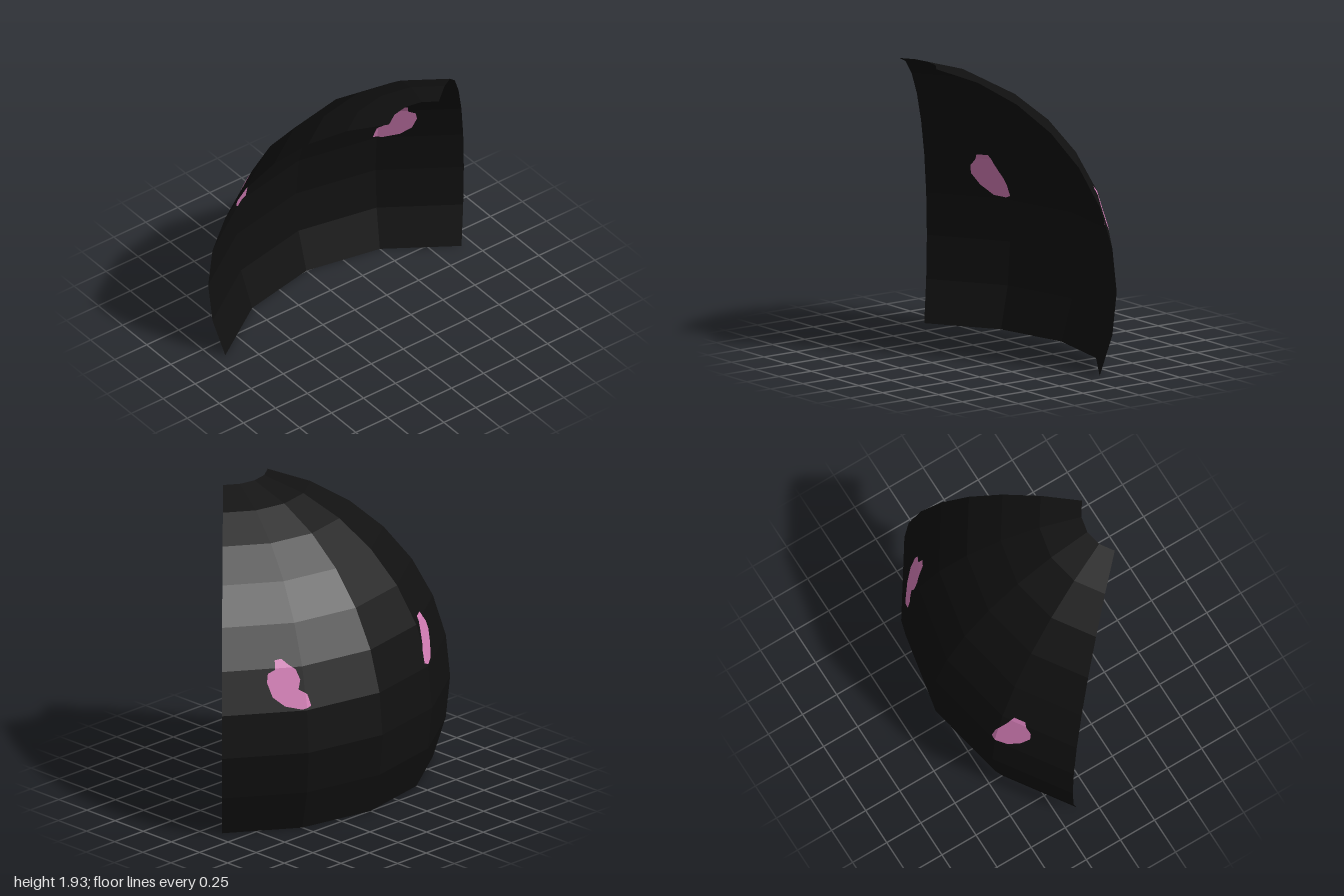
import * as THREE from 'three';

// Curved shell: a patch of a sphere, open at the back
const R = Math.SQRT2, COLS = 4, ROWS = 9;
const PHI0 = -Math.PI / 4, DPHI = Math.PI / 2 / COLS;
const TH0 = Math.PI / 16, DTH = Math.PI / 16;
const CENTRE = new THREE.Vector3(0.805, R * Math.sin(Math.PI / 8), 0);

// Spot outlines as [z, y]
const SPOTS = {
  leftSpot: [[0.62, 1.112], [0.556, 1.112], [0.545, 1.053], [0.529, 1], [0.503, 0.92], [0.497, 0.845], [0.535, 0.829],
    [0.599, 0.84], [0.658, 0.904], [0.69, 0.979], [0.679, 1.032], [0.642, 1.075]],
  rightSpot: [[-0.594, 1.134], [-0.631, 1.128], [-0.647, 1.075], [-0.69, 1.053], [-0.706, 1], [-0.695, 0.909],
    [-0.642, 0.85], [-0.556, 0.824], [-0.497, 0.84], [-0.508, 0.914], [-0.551, 0.947], [-0.529, 1.005],
    [-0.54, 1.07], [-0.567, 1.096]],
};

function shellPoint(col, row) {
  const phi = PHI0 + col * DPHI, th = TH0 + row * DTH;
  return new THREE.Vector3(-Math.cos(phi) * Math.sin(th), Math.cos(th), Math.sin(phi) * Math.sin(th))
    .multiplyScalar(R).add(CENTRE);
}

// Keep the part of an outline that lies inside a convex facet
function clip(outline, facet) {
  const mid = [0, 1].map(k => facet.reduce((s, p) => s + p[k], 0) / facet.length);
  let poly = outline;
  facet.forEach((a, i) => {
    const b = facet[(i + 1) % facet.length];
    const raw = p => (b[0] - a[0]) * (p[1] - a[1]) - (b[1] - a[1]) * (p[0] - a[0]);
    const sign = Math.sign(raw(mid));
    const side = p => raw(p) * sign;
    const out = [];
    poly.forEach((p, j) => {
      const q = poly[(j + 1) % poly.length], dp = side(p), dq = side(q);
      if (dp >= 0) out.push(p);
      if (dp * dq < 0) {
        const t = dp / (dp - dq);
        out.push([p[0] + t * (q[0] - p[0]), p[1] + t * (q[1] - p[1])]);
      }
    });
    poly = out;
  });
  return poly;
}

export function createModel() {
  const model = new THREE.Group();
  model.name = 'curvedShell';
  const black = new THREE.MeshStandardMaterial({ color: 0x101010, flatShading: true, side: THREE.DoubleSide });
  black.name = 'black';
  const pink = new THREE.MeshStandardMaterial({ color: 0xd67eb8, flatShading: true, side: THREE.DoubleSide });
  pink.name = 'pink';

  const shell = new THREE.Mesh(
    new THREE.SphereGeometry(R, COLS, ROWS, PHI0, COLS * DPHI, TH0, ROWS * DTH), black);
  // the sphere's own seam faces -x, where the shell bulges
  shell.position.copy(CENTRE);
  shell.name = 'shell';
  model.add(shell);

  // Painted spots, laid on each facet on both faces of the shell
  for (const [name, outline] of Object.entries(SPOTS)) {
    const spot = new THREE.Group();
    spot.name = name;
    for (let row = 0; row < ROWS; row++) for (let col = 0; col < COLS; col++) {
      const c = [[0, 0], [1, 0], [1, 1], [0, 1]].map(([i, j]) => shellPoint(col + i, row + j));
      const piece = clip(outline, c.map(p => [p.z, p.y]));
      if (piece.length < 3) continue;
      const plane = new THREE.Plane().setFromCoplanarPoints(c[0], c[1], c[2]);
      const n = plane.normal;
      for (const shift of [-0.004, 0.004]) {
        const geo = new THREE.ShapeGeometry(new THREE.Shape(piece.map(p => new THREE.Vector2(...p))));
        const pos = geo.attributes.position;
        for (let i = 0; i < pos.count; i++) {
          const z = pos.getX(i), y = pos.getY(i);
          pos.setXYZ(i, -(n.y * y + n.z * z + plane.constant) / n.x + shift, y, z);
        }
        if (shift > 0) geo.index.array.reverse();
        geo.computeVertexNormals();
        const mesh = new THREE.Mesh(geo, pink);
        mesh.name = shift < 0 ? 'outerSpotPiece' : 'innerSpotPiece';
        spot.add(mesh);
      }
    }
    model.add(spot);
  }
  return model;
}
